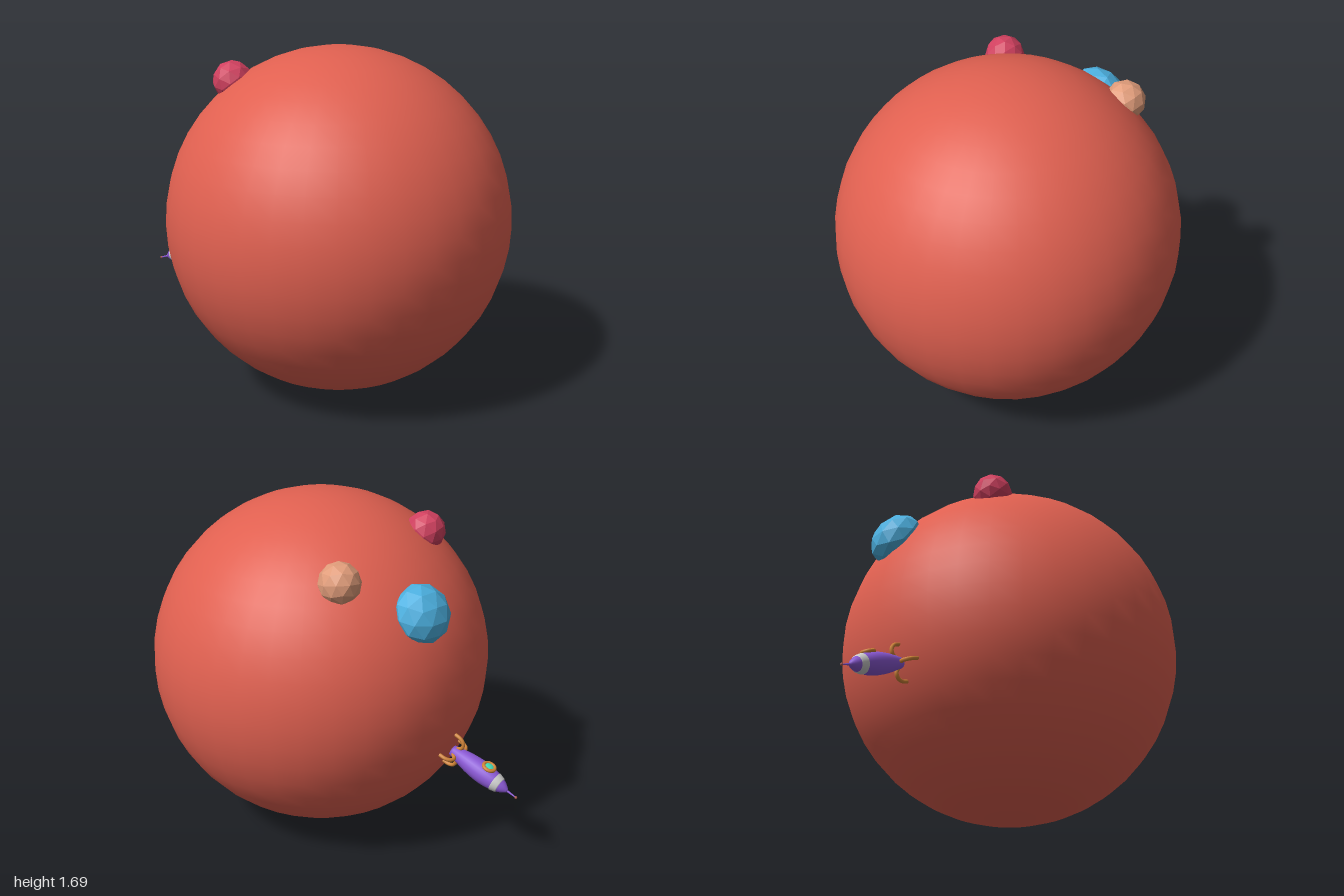
import * as THREE from 'three';

const CENTER = new THREE.Vector3(0, 0.845, 0.155);
const RADIUS = 0.845;

function material(color, flatShading = false) {
  return new THREE.MeshStandardMaterial({ color, flatShading });
}

function addMesh(parent, name, geometry, mat) {
  const mesh = new THREE.Mesh(geometry, mat);
  mesh.name = name;
  parent.add(mesh);
  return mesh;
}

// Stands an object on the planet, its y axis pointing straight out and its z axis uphill
function placeOnPlanet(object, direction) {
  const out = direction.clone().normalize();
  const uphill = new THREE.Vector3(0, 1, 0).addScaledVector(out, -out.y).normalize();
  const side = new THREE.Vector3().crossVectors(out, uphill);
  object.quaternion.setFromRotationMatrix(new THREE.Matrix4().makeBasis(side, out, uphill));
  object.position.copy(CENTER).addScaledVector(out, RADIUS);
}

function createRocket() {
  const rocket = new THREE.Group();
  rocket.name = 'rocket';
  const purple = material(0x8a58d4);
  const orange = material(0xd08438);

  // Spindle hull, closed at the tail
  const hull = new THREE.SplineCurve([
    [0.026, 0.012], [0.037, 0.06], [0.048, 0.12], [0.053, 0.18], [0.051, 0.23],
    [0.042, 0.28], [0.026, 0.32], [0.007, 0.345],
  ].map(([r, y]) => new THREE.Vector2(r, y))).getPoints(24);
  addMesh(rocket, 'hull', new THREE.LatheGeometry(
    [new THREE.Vector2(0, 0.012), ...hull, new THREE.Vector2(0, 0.346)], 24), purple);

  // Pale ring below the nose
  const band = [[0.047, 0.268], [0.0465, 0.272], [0.039, 0.298], [0.034, 0.302]]
    .map(([r, y]) => new THREE.Vector2(r, y));
  addMesh(rocket, 'noseBand', new THREE.LatheGeometry(band, 24), material(0xcccccc));

  // Antenna with ball tip
  const antenna = addMesh(rocket, 'antenna', new THREE.CylinderGeometry(0.003, 0.006, 0.06, 10), purple);
  antenna.position.y = 0.366;
  const tip = addMesh(rocket, 'antennaTip', new THREE.SphereGeometry(0.007, 12, 8), material(0xa85a50));
  tip.position.y = 0.395;

  // Round porthole on the uphill side
  const porthole = new THREE.Group();
  porthole.name = 'porthole';
  porthole.position.set(0, 0.213, 0.05);
  const rim = addMesh(porthole, 'portholeRim', new THREE.TorusGeometry(0.028, 0.009, 10, 24), orange);
  rim.position.z = 0.003;
  const glass = addMesh(porthole, 'portholeGlass', new THREE.SphereGeometry(0.027, 20, 12), material(0x45dcb8));
  glass.scale.z = 0.45;
  rocket.add(porthole);

  // Four curved landing legs
  const path = new THREE.CatmullRomCurve3([
    [0.022, 0.03], [0.045, 0.052], [0.07, 0.048], [0.085, 0.025], [0.087, -0.012],
  ].map(([r, y]) => new THREE.Vector3(r, y, 0)));
  const legGeometry = new THREE.TubeGeometry(path, 16, 0.0095, 8);
  for (let i = 0; i < 4; i++) {
    addMesh(rocket, 'landingLeg', legGeometry, orange).rotation.y = i * Math.PI / 2;
  }
  return rocket;
}

export function createModel() {
  const model = new THREE.Group();
  model.name = 'planetWithRocket';

  addMesh(model, 'planet', new THREE.SphereGeometry(RADIUS, 36, 24), material(0xe06050))
    .position.copy(CENTER);

  // Faceted boulders half sunk in the ground
  const boulders = [
    { name: 'pinkBoulder', color: 0xd0405f, dir: [-0.31, 0.674, -0.405], size: [0.098, 0.1, 0.098] },
    { name: 'tanBoulder', color: 0xe09c7a, dir: [0.345, 0.61, -0.485], size: [0.1, 0.1, 0.1] },
    { name: 'blueBoulder', color: 0x4cb0e0, dir: [0.05, 0.44, -0.71], size: [0.142, 0.108, 0.142] },
  ];
  for (const { name, color, dir, size } of boulders) {
    const boulder = addMesh(model, name, new THREE.IcosahedronGeometry(1, 1), material(color, true));
    boulder.scale.set(...size);
    placeOnPlanet(boulder, new THREE.Vector3(...dir));
  }

  const rocket = createRocket();
  placeOnPlanet(rocket, new THREE.Vector3(-0.1325, -0.349, -0.928));
  model.add(rocket);
  return model;
}
